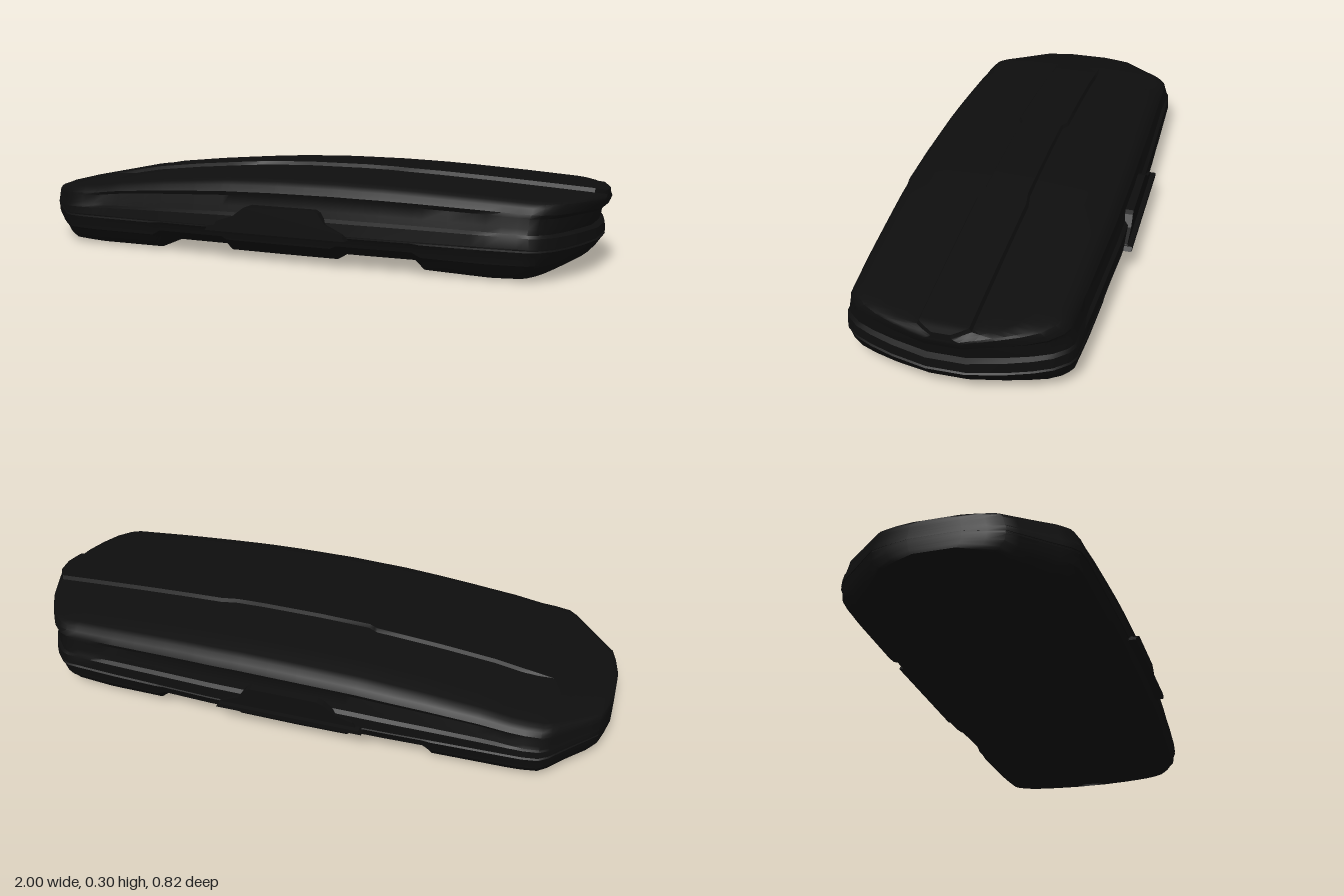
import * as THREE from 'three';
import { toCreasedNormals } from 'three/addons/utils/BufferGeometryUtils.js';

const plastic = new THREE.MeshStandardMaterial({ color: 0x0e0e0e });
plastic.name = 'black plastic';

// Piecewise-linear curve through [x, value] pairs
const curve = (pts) => (x) => {
  for (let i = 1; i < pts.length; i++) {
    const [x0, v0] = pts[i - 1], [x1, v1] = pts[i];
    if (x <= x1) return v0 + (v1 - v0) * Math.max(0, (x - x0) / (x1 - x0));
  }
  return pts[pts.length - 1][1];
};

// Half width, crown height, underside height and centre rib along the length
const width = curve([[-1, 0.08], [-0.985, 0.15], [-0.97, 0.2], [-0.88, 0.295], [-0.83, 0.35], [-0.8, 0.37],
  [-0.75, 0.377], [-0.3, 0.387], [0, 0.389], [0.3, 0.384], [0.65, 0.367], [0.84, 0.354], [0.87, 0.34],
  [0.91, 0.3], [0.94, 0.245], [0.97, 0.17], [1, 0.06]]);
const crown = curve([[-1, 0.165], [-0.985, 0.175], [-0.8, 0.213], [-0.6, 0.25], [-0.4, 0.273], [-0.2, 0.29],
  [0, 0.298], [0.2, 0.3], [0.4, 0.297], [0.65, 0.286], [0.85, 0.275], [0.97, 0.268], [1, 0.258]]);
const under = curve([[-1, 0.062], [-0.97, 0.048], [-0.94, 0.032], [-0.88, 0.025], [-0.8, 0.008], [-0.7, 0.004],
  [-0.46, 0.006], [-0.43, 0.04], [-0.19, 0.04], [-0.17, 0.02], [0.2, 0.02], [0.22, 0.04], [0.47, 0.04],
  [0.5, 0.01], [0.7, 0.003], [1, 0.01]]);
const ribHeight = curve([[-0.8, 0], [-0.7, 0.011], [1, 0.013]]);
const ribWidth = curve([[-0.75, 0.09], [-0.2, 0.092], [-0.17, 0.077], [0.3, 0.077], [0.36, 0.087], [1, 0.08]]);
const panelInset = curve([[-0.75, 0], [-0.66, 0.006], [0.66, 0.006], [0.75, 0]]);

const stations = [-1, -0.985, -0.97, -0.94, -0.91, -0.88, -0.85, -0.83, -0.8, -0.75, -0.7, -0.66, -0.6, -0.5,
  -0.46, -0.43, -0.3, -0.2, -0.19, -0.17, 0, 0.1, 0.2, 0.22, 0.3, 0.36, 0.47, 0.5, 0.58, 0.66, 0.7, 0.75, 0.8,
  0.84, 0.87, 0.89, 0.91, 0.925, 0.94, 0.955, 0.97, 0.985, 1];

// How far points are drawn forward at the tail
const tail = (x) => Math.pow(Math.max(0, (x - 0.7) / 0.3), 1.5);

// Half section of the lid, crown to seam: [z, y, tail pull]
function lidSection(x) {
  const w = width(x), rise = ribHeight(x), top = crown(x) - rise;
  const h = top - 0.112, rib = Math.min(ribWidth(x), w * 0.5), inset = panelInset(x);
  const at = (fz, fy, pull, dz = 0) => [w * fz - dz, 0.112 + h * fy, pull];
  return [
    [0, top + rise, 0], [rib * 0.92, top + rise, 0], [rib, top, 0],
    at(0.62, 0.965, 0), at(0.82, 0.92, 0), at(0.875, 0.88, 0), at(0.915, 0.8, 0.004),
    at(0.945, 0.68, 0.012), at(0.95, 0.6, 0.03, inset), at(0.968, 0.4, 0.035, inset),
    at(0.978, 0.28, 0.04, inset), at(0.992, 0.22, 0.022), at(1, 0, 0.02), [0, 0.112, 0.02],
  ];
}

// Half section of the tray, rim to underside
function traySection(x) {
  const w = width(x), b = under(x), h = 0.113 - b;
  const at = (fz, fy, pull) => [w * fz, b + h * fy, pull];
  const slot = Math.max(b, 0.018);
  return [
    [0, 0.113, 0.025], at(0.985, 1, 0.025), at(0.985, 0.94, 0.025), at(1, 0.9, 0.02), at(0.985, 0.78, 0.03),
    at(0.975, 0.5, 0.05), at(0.94, 0.36, 0.068), at(0.915, 0.22, 0.09), at(0.87, 0.07, 0.12),
    at(0.8, 0, 0.14), at(0.45, 0.03, 0.14),
    [Math.min(0.05, w * 0.4), b, 0.14], [Math.min(0.035, w * 0.3), slot, 0.14], [0, slot, 0.14],
  ];
}

// Mirrors half sections into closed rings, skins them and closes both ends
function loft(section) {
  const pos = [], idx = [];
  const n = section(0).length, m = 2 * n - 2;
  for (const x of stations) {
    const half = section(x);
    for (let j = 0; j < m; j++) {
      const [z, y, pull] = half[j < n ? j : m - j];
      pos.push(x - pull * tail(x), y, j < n ? z : -z);
    }
  }
  const last = (stations.length - 1) * m;
  for (let i = 0; i < last; i += m) {
    for (let j = 0; j < m; j++) {
      const k = (j + 1) % m;
      idx.push(i + j, i + k, i + m + j, i + k, i + m + k, i + m + j);
    }
  }
  for (let j = 0; j < n - 1; j++) {
    const a = j, b = j + 1, c = m - j - 1, d = (m - j) % m;
    if (b !== c) idx.push(last + a, last + b, last + c, a, c, b);
    if (a !== d) idx.push(last + a, last + c, last + d, a, d, c);
  }
  const geo = new THREE.BufferGeometry();
  geo.setAttribute('position', new THREE.Float32BufferAttribute(pos, 3));
  geo.setIndex(idx);
  return toCreasedNormals(geo, 0.5);
}

function add(parent, name, geometry) {
  const mesh = new THREE.Mesh(geometry, plastic);
  mesh.name = name;
  parent.add(mesh);
  return mesh;
}

// Solid plate from an outline in x and y
function plate(points, depth) {
  const shape = new THREE.Shape(points.map(([x, y]) => new THREE.Vector2(x, y)));
  return new THREE.ExtrudeGeometry(shape, { depth, bevelEnabled: false }).translate(0, 0, -depth / 2);
}

export function createModel() {
  const group = new THREE.Group();
  group.name = 'roofBox';
  add(group, 'lid', loft(lidSection));
  add(group, 'tray', loft(traySection));

  // Opening handles on both long sides: an arched cover above a thin grip lip
  const arch = [[-0.22, 0.1], [0.26, 0.1], [0.25, 0.118], [0.19, 0.145], [0.165, 0.18], [0.15, 0.188],
    [-0.08, 0.188], [-0.1, 0.18], [-0.14, 0.15], [-0.2, 0.13]];
  const grip = [[-0.235, 0.1], [0.265, 0.1], [0.255, 0.114], [-0.225, 0.114]];
  for (const side of [1, -1]) {
    const handle = new THREE.Group();
    handle.name = side > 0 ? 'frontHandle' : 'backHandle';
    add(handle, 'handleCover', plate(arch, 0.035)).position.z = side * 0.377;
    add(handle, 'gripLip', plate(grip, 0.03)).position.z = side * 0.396;
    group.add(handle);
  }
  return group;
}
